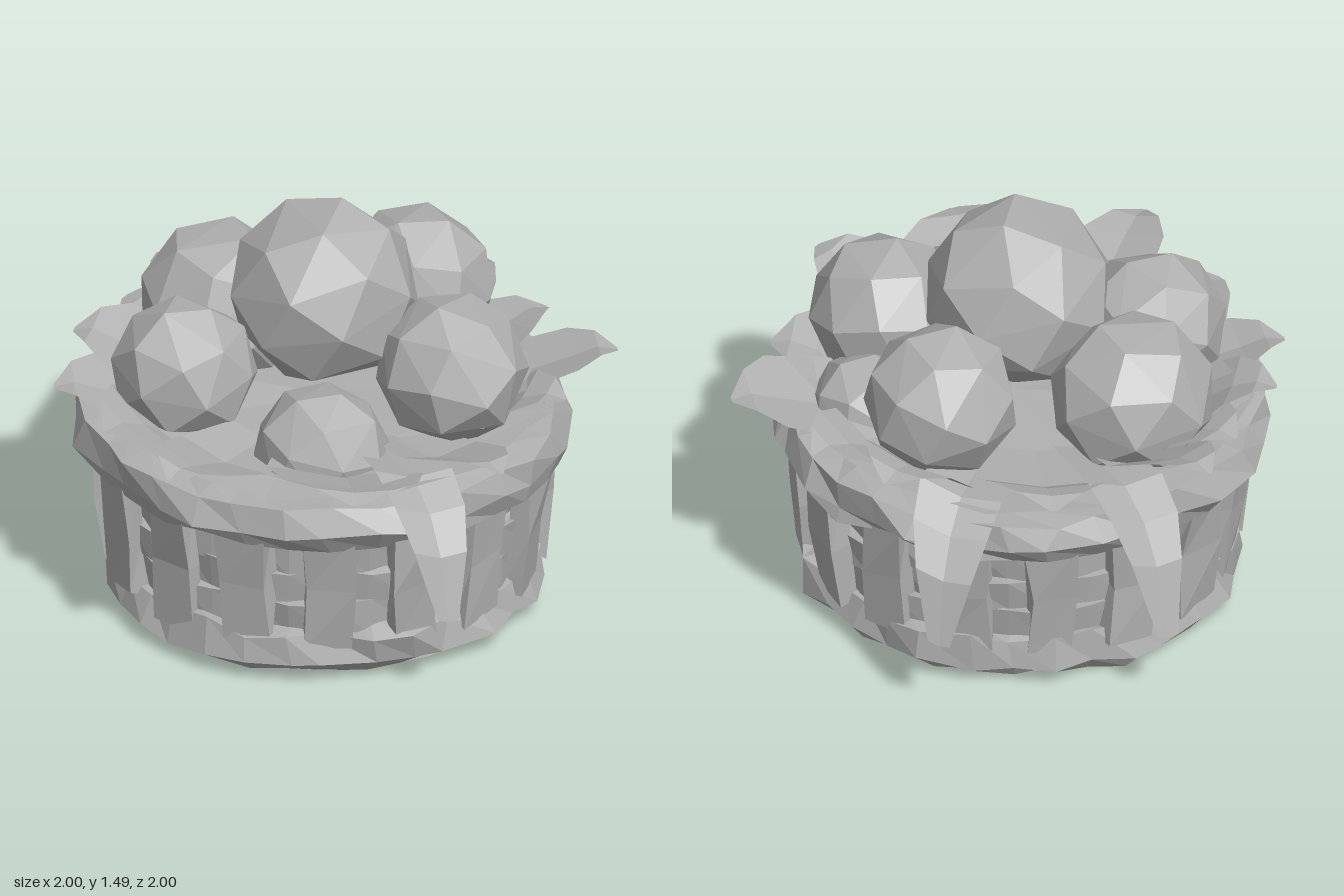
import * as THREE from 'three';
import { ConvexGeometry } from 'three/addons/geometries/ConvexGeometry.js';

const grey = new THREE.MeshStandardMaterial({ color: 0xb0b0b0, flatShading: true, side: THREE.DoubleSide });
grey.name = 'stone grey';

// Repeatable noise from a position, so that shared corners move together
function noise(x, y, z, k) {
  const r = v => Math.round(v * 500);
  const s = Math.sin(r(x) * 12.9898 + r(y) * 78.233 + r(z) * 37.719 + k * 11.13) * 43758.5453;
  return (s - Math.floor(s)) * 2 - 1;
}

function roughen(geometry, amount, amountY = amount) {
  const p = geometry.attributes.position;
  for (let i = 0; i < p.count; i++) {
    const x = p.getX(i), y = p.getY(i), z = p.getZ(i);
    p.setXYZ(i, x + noise(x, y, z, 1) * amount, y + noise(x, y, z, 2) * amountY, z + noise(x, y, z, 3) * amount);
  }
  geometry.computeVertexNormals();
  return geometry;
}

function add(parent, name, geometry) {
  const mesh = new THREE.Mesh(geometry, grey);
  mesh.name = name;
  parent.add(mesh);
  return mesh;
}

function lathe(points, sides) {
  return new THREE.LatheGeometry(points.map(p => new THREE.Vector2(...p)), sides);
}

// Faceted ball: hull of a few points spread evenly over a sphere
function fruitGeometry(r) {
  const points = [], n = 27;
  for (let i = 0; i < n; i++) {
    const y = 1 - (2 * i + 1) / n, s = Math.sqrt(1 - y * y), a = i * 2.39996;
    points.push(new THREE.Vector3(Math.cos(a) * s, y, Math.sin(a) * s).multiplyScalar(r));
  }
  return new ConvexGeometry(points);
}

// Leaf running outwards to its tip, built from three-point cross-sections
function leafGeometry(tipX, tipY, tipZ, width) {
  const reach = Math.hypot(tipX, tipZ), dx = tipX / reach, dz = tipZ / reach;
  const droops = tipY < 0.6;
  const sections = droops
    ? [[0.45, 0.79, 0.9], [0.76, 0.82, 1.1], [0.9, 0.74, 1], [0.99, 0.6, 0.75], [reach, tipY, 0.3]]
    : [[0.4, 0.77, 0.7], [0.65, 0.8, 1], [reach - 0.16, tipY + 0.01, 0.85], [reach - 0.07, tipY + 0.03, 0.5], [reach, tipY, 0.06]];
  const positions = [], index = [];
  sections.forEach(([r, y, w], i) => {
    for (const s of [-1, 0, 1]) {
      const side = s * w * width / 2;
      const lift = s === 0 ? -0.03 : 0.025 * s;
      positions.push(dx * r - dz * side, y + lift * w, dz * r + dx * side);
    }
    if (i === 0) return;
    for (let j = 0; j < 2; j++) {
      const a = (i - 1) * 3 + j, b = a + 3;
      index.push(a, a + 1, b, a + 1, b + 1, b);
    }
  });
  const g = new THREE.BufferGeometry();
  g.setAttribute('position', new THREE.Float32BufferAttribute(positions, 3));
  g.setIndex(index);
  g.computeVertexNormals();
  return g;
}

export function createModel() {
  const model = new THREE.Group();
  model.name = 'fruitBasket';

  // Basket: chunky base ring and rim
  const basket = new THREE.Group();
  basket.name = 'basket';
  model.add(basket);
  add(basket, 'baseRing', roughen(lathe(
    [[0.66, 0.03], [0.73, 0.025], [0.79, 0.07], [0.775, 0.19], [0.68, 0.2], [0.66, 0.03]], 32), 0.028, 0.02));
  const floor = new THREE.CircleGeometry(0.71, 24).rotateX(Math.PI / 2).translate(0, 0.02, 0);
  add(basket, 'floor', floor);
  add(basket, 'rim', roughen(lathe(
    [[0.73, 0.575], [0.83, 0.57], [0.88, 0.64], [0.85, 0.74], [0.74, 0.74], [0.73, 0.575]], 32), 0.032, 0.015));

  // Upright staves, leaning outwards
  const count = 16;
  for (let i = 0; i < count; i++) {
    const a = i / count * Math.PI * 2;
    const g = new THREE.BoxGeometry(0.17, 0.48, 0.07, 1, 2, 1);
    g.rotateX(0.1).translate(0, 0.38, 0.765).rotateY(a);
    add(basket, 'stave', roughen(g, 0.018));
  }

  // Woven bands passing in front of and behind the staves
  for (let row = 0; row < 3; row++) {
    const y = 0.18 + row * 0.122;
    const g = lathe([[0.69, y], [0.735, y], [0.75, y + 0.125], [0.7, y + 0.125], [0.69, y]], 32);
    const p = g.attributes.position;
    for (let i = 0; i < p.count; i++) {
      const a = Math.atan2(p.getX(i), p.getZ(i));
      const s = 1 + 0.03 * Math.cos(a * count / 2 + row * Math.PI);
      p.setX(i, p.getX(i) * s);
      p.setZ(i, p.getZ(i) * s);
    }
    add(basket, 'wovenBand', roughen(g, 0.01));
  }

  // Bed of leaves beneath the fruit
  add(model, 'leafBed', roughen(lathe([[0.82, 0.77], [0.66, 0.77], [0.45, 0.75], [0, 0.76]], 12), 0.03, 0.02));

  // Leaves spilling over the rim: tip x, y, z and width
  const leaves = [
    [-1, 0.87, 0.2, 0.36], [-0.39, 0.36, 0.98, 0.27], [-0.14, 0.86, 1, 0.34],
    [0.8, 0.86, 0.67, 0.46], [0.92, 0.89, -0.1, 0.42], [0.98, 0.35, -0.38, 0.27],
    [0.43, 0.33, -0.98, 0.27], [0.17, 0.88, -0.97, 0.36], [-0.72, 0.82, -0.63, 0.42],
    [-0.42, 0.86, -0.82, 0.44], [-0.64, 0.84, 0.77, 0.56], [0.65, 0.85, -0.64, 0.46],
    [-0.86, 0.84, -0.25, 0.56], [0.42, 0.85, 0.78, 0.48], [-0.1, 0.84, -0.88, 0.5],
    [0.88, 0.84, 0.25, 0.4],
  ];
  for (const [x, y, z, w] of leaves) add(model, 'leaf', leafGeometry(x, y, z, w));

  // Faceted round fruit: centre and radius
  const fruits = [
    [0, 1.165, 0, 0.345], [0.15, 0.97, 0.48, 0.275], [0.5, 0.99, -0.03, 0.28],
    [0, 0.93, -0.5, 0.3], [-0.43, 0.91, -0.27, 0.265], [-0.34, 0.77, 0.31, 0.245],
    [0.42, 0.76, 0.36, 0.2],
  ];
  fruits.forEach(([x, y, z, r], i) => {
    const fruit = add(model, 'fruit', fruitGeometry(r));
    fruit.position.set(x, y, z);
    fruit.rotation.set(i * 0.9, i * 1.3, 0);
  });

  return model;
}
